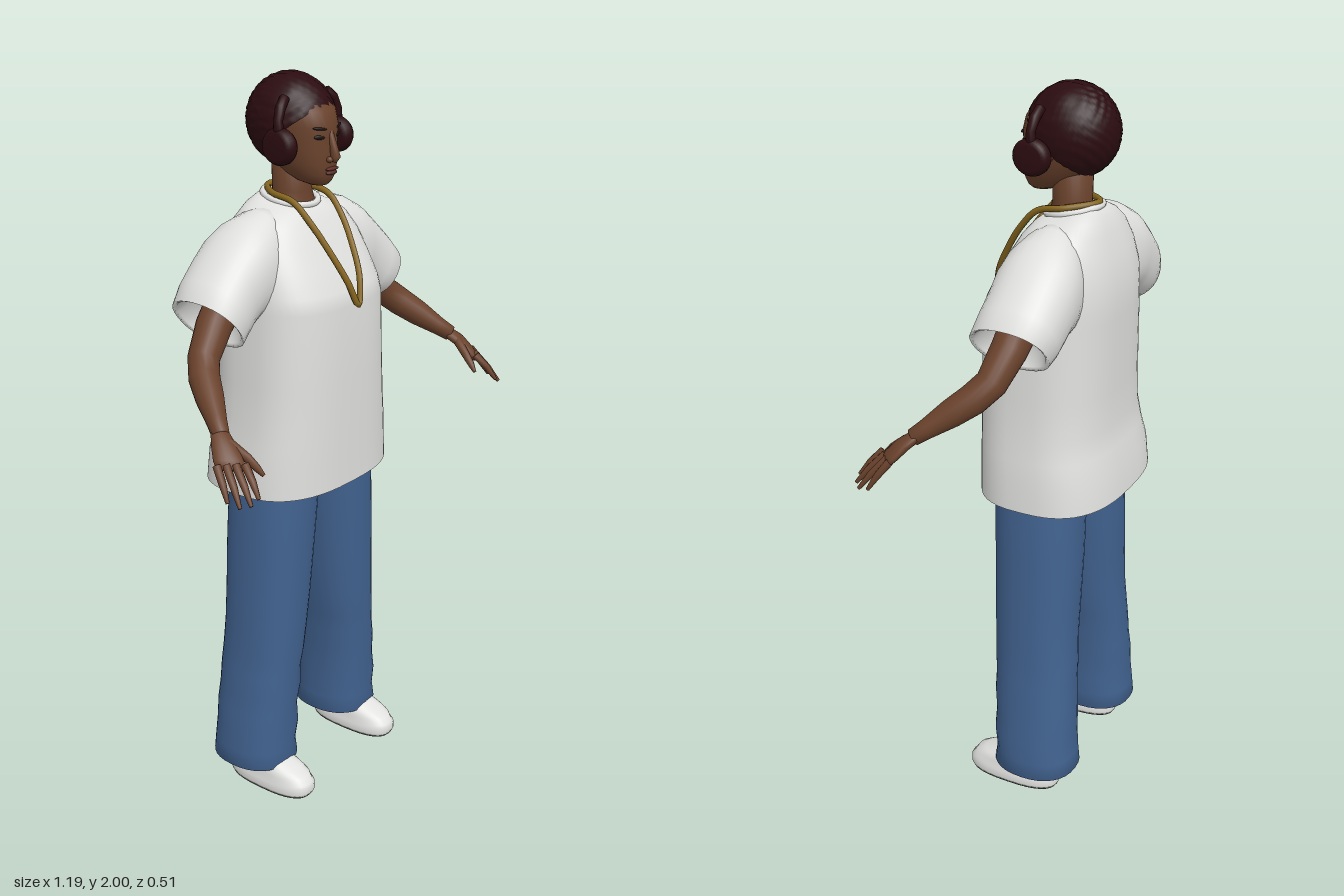
import * as THREE from 'three';

const V = (x, y, z) => new THREE.Vector3(x, y, z);
const paint = (name, color, side = THREE.FrontSide) => {
  const m = new THREE.MeshStandardMaterial({ color, side });
  m.name = name;
  return m;
};

// Skin a list of rings {c, u, v}; power > 2 squares the cross-section.
function loft(rings, { seg = 28, power = 2, caps = [true, true] } = {}) {
  const pos = [], idx = [], last = rings.length - 1;
  const along = rings[last].c.clone().sub(rings[0].c);
  const flip = rings[0].u.clone().cross(rings[0].v).dot(along) < 0 ? -1 : 1;
  const curve = t => Math.sign(t) * Math.pow(Math.abs(t), 2 / power);
  rings.forEach(({ c, u, v }) => {
    for (let j = 0; j < seg; j++) {
      const a = j / seg * Math.PI * 2;
      const p = c.clone().addScaledVector(u, curve(Math.cos(a))).addScaledVector(v, flip * curve(Math.sin(a)));
      pos.push(p.x, p.y, p.z);
    }
  });
  for (let i = 0; i < last; i++) for (let j = 0; j < seg; j++) {
    const a = i * seg + j, b = i * seg + (j + 1) % seg;
    idx.push(a, b, a + seg, b, b + seg, a + seg);
  }
  [0, last].forEach((r, k) => {
    if (!caps[k]) return;
    const n = pos.length / 3, c = rings[r].c;
    pos.push(c.x, c.y, c.z);
    for (let j = 0; j < seg; j++) {
      const a = r * seg + j, b = r * seg + (j + 1) % seg;
      k ? idx.push(n, a, b) : idx.push(n, b, a);
    }
  });
  const g = new THREE.BufferGeometry();
  g.setAttribute('position', new THREE.Float32BufferAttribute(pos, 3));
  g.setIndex(idx);
  g.computeVertexNormals();
  return g;
}

// Level ring from its extents; tilt raises the back edge.
const level = (y, x0, x1, front, back, tilt = 0) => ({
  c: V((x0 + x1) / 2, y, (front + back) / 2),
  u: V((x1 - x0) / 2, 0, 0),
  v: V(0, tilt, (back - front) / 2),
});

// Round limb through points [x, y, z, radius].
function limb(points, seg = 14) {
  const p = points.map(([x, y, z]) => V(x, y, z));
  return loft(points.map((q, i) => {
    const t = p[Math.min(i + 1, p.length - 1)].clone().sub(p[Math.max(i - 1, 0)]).normalize();
    const u = V(0, 0, 1).cross(t).normalize();
    const v = t.clone().cross(u);
    return { c: p[i], u: u.multiplyScalar(q[3]), v: v.multiplyScalar(q[3]) };
  }), { seg });
}

export function createModel() {
  const root = new THREE.Group();
  const skin = paint('brown skin', 0x6a422c);
  const hair = paint('dark red hair', 0x2b0c10, THREE.DoubleSide);
  const cloth = paint('white cotton', 0xe0e0de, THREE.DoubleSide);
  const denim = paint('blue denim', 0x41628f, THREE.DoubleSide);
  const gold = paint('gold', 0x85651f);
  const leather = paint('white leather', 0xe2e2e0);
  const rubber = paint('grey rubber', 0x62625f);
  const dark = paint('dark eye', 0x1c1210);
  const lip = paint('lip', 0x5c3028);
  const add = (name, geo, mat, parent = root) => {
    const m = new THREE.Mesh(geo, mat);
    m.name = name;
    parent.add(m);
    return m;
  };
  const blob = (name, mat, at, size, yaw = 0, roll = 0) => {
    const m = add(name, new THREE.SphereGeometry(1, 18, 12), mat);
    m.position.set(...at);
    m.scale.set(...size);
    m.rotation.set(0, yaw, roll);
    return m;
  };

  // Shirt body: [y, half width, front z, back z, tilt]
  add('shirtBody', loft([
    [0.92, 0.268, 0.138, -0.255], [1.0, 0.262, 0.138, -0.248], [1.06, 0.254, 0.138, -0.232],
    [1.12, 0.245, 0.138, -0.222], [1.22, 0.236, 0.138, -0.222], [1.42, 0.225, 0.137, -0.224],
    [1.46, 0.222, 0.125, -0.224], [1.52, 0.214, 0.093, -0.220], [1.58, 0.198, 0.060, -0.205],
    [1.63, 0.168, 0.032, -0.186, 0.005], [1.66, 0.125, 0.012, -0.170, 0.010],
    [1.678, 0.078, -0.004, -0.150, 0.015], [1.672, 0.066, -0.012, -0.138, 0.013],
  ].map(([y, w, f, b, t]) => level(y, -w, w, f, b, t)), { seg: 48, power: 2.7, caps: [false, false] }), cloth);

  // Folded collar
  const collar = add('collar', new THREE.TorusGeometry(0.073, 0.009, 8, 36), cloth);
  collar.rotation.x = Math.PI / 2 + 0.19;
  collar.position.set(0, 1.68, -0.077);

  // Neck and head: [y, half width, front z, back z]
  add('neck', loft([
    [1.60, 0.085, 0.0, -0.15], [1.66, 0.066, -0.012, -0.135], [1.70, 0.054, -0.02, -0.122],
    [1.80, 0.054, -0.02, -0.125],
  ].map(([y, w, f, b]) => level(y, -w, w, f, b))), skin);
  add('head', loft([
    [1.722, 0.022, 0.040, -0.010], [1.732, 0.040, 0.050, -0.045], [1.752, 0.057, 0.058, -0.085],
    [1.78, 0.070, 0.060, -0.125], [1.815, 0.079, 0.061, -0.155], [1.845, 0.083, 0.058, -0.165],
    [1.872, 0.086, 0.061, -0.170], [1.91, 0.087, 0.050, -0.170], [1.95, 0.076, 0.022, -0.150],
    [1.975, 0.045, -0.02, -0.115],
  ].map(([y, w, f, b]) => level(y, -w, w, f, b)), { seg: 32, power: 2.15 }), skin);

  // Face
  add('noseBridge', limb([[0, 1.862, 0.052, 0.008], [0, 1.825, 0.064, 0.010], [0, 1.796, 0.071, 0.013], [0, 1.786, 0.066, 0.008]]), skin);
  blob('upperLip', lip, [0, 1.766, 0.060], [0.026, 0.005, 0.007]);
  blob('lowerLip', lip, [0, 1.756, 0.058], [0.022, 0.006, 0.008]);
  for (const s of [1, -1]) {
    blob('nostril', skin, [s * 0.013, 1.791, 0.062], [0.009, 0.008, 0.009]);
    blob('eye', dark, [s * 0.036, 1.848, 0.048], [0.017, 0.006, 0.004], s * 0.35, s * 0.08);
    blob('eyebrow', dark, [s * 0.038, 1.870, 0.050], [0.022, 0.004, 0.004], s * 0.35, s * 0.12);
    blob('ear', skin, [s * 0.087, 1.84, -0.045], [0.010, 0.028, 0.018]);
  }

  // Hair cap: open sphere tipped back, with a woven ripple
  const cap = new THREE.SphereGeometry(1, 60, 36, 0, Math.PI * 2, 0, Math.PI * 0.615);
  const cp = cap.attributes.position;
  for (let i = 0; i < cp.count; i++) {
    const p = V(0, 0, 0).fromBufferAttribute(cp, i);
    const k = 1 + 0.018 * Math.sin(p.x * 26) * Math.sin(p.y * 22 + p.z * 22);
    cp.setXYZ(i, p.x * k, p.y * k, p.z * k);
  }
  cap.rotateX(-0.69);
  cap.scale(0.109, 0.121, 0.122);
  cap.translate(0, 1.878, -0.073);
  cap.computeVertexNormals();
  add('hairCap', cap, hair);

  // Side puffs, each hanging from a short twisted strand
  const disc = [[0, -0.021], [0.034, -0.021], [0.045, -0.016], [0.051, -0.006], [0.051, 0.006],
    [0.045, 0.016], [0.034, 0.021], [0, 0.021]].map(([x, y]) => new THREE.Vector2(x, y));
  for (const s of [1, -1]) {
    const puff = add('hairPuff', new THREE.LatheGeometry(disc, 28), hair);
    puff.rotation.z = Math.PI / 2;
    puff.scale.set(0.93, 1, 1);
    puff.position.set(s * 0.117, 1.83, -0.016);
    add('hairStrand', limb([[s * 0.085, 1.945, -0.025, 0.013], [s * 0.108, 1.925, -0.02, 0.014],
      [s * 0.122, 1.895, -0.016, 0.012], [s * 0.121, 1.86, -0.016, 0.014]]), hair);
  }

  // Necklace
  const half = [[0.026, 1.485, 0.132], [0.048, 1.56, 0.092], [0.066, 1.635, 0.040], [0.073, 1.683, -0.010], [0.066, 1.697, -0.085]];
  const chain = [V(0, 1.422, 0.148), ...half.map(p => V(...p)), V(0, 1.703, -0.145),
    ...half.slice().reverse().map(([x, y, z]) => V(-x, y, z))];
  add('necklace', new THREE.TubeGeometry(new THREE.CatmullRomCurve3(chain, true), 120, 0.0085, 8, true), gold);

  // Hips
  add('hips', loft([[0.925, 0.20, 0.06, -0.15], [0.97, 0.225, 0.08, -0.168], [1.12, 0.205, 0.08, -0.165]]
    .map(([y, w, f, b]) => level(y, -w, w, f, b)), { power: 2.5 }), denim);

  for (const s of [1, -1]) {
    const side = s > 0 ? 'left' : 'right';

    // Sleeve: [top x, top y, bottom x, bottom y, centre z, half depth]
    add(side + 'Sleeve', loft([
      [0.05, 1.668, 0.06, 1.36, -0.075, 0.07], [0.14, 1.664, 0.14, 1.37, -0.078, 0.10],
      [0.20, 1.648, 0.195, 1.385, -0.08, 0.112], [0.25, 1.622, 0.22, 1.385, -0.081, 0.112],
      [0.30, 1.582, 0.24, 1.37, -0.081, 0.109], [0.36, 1.527, 0.262, 1.355, -0.077, 0.109],
      [0.40, 1.482, 0.285, 1.340, -0.070, 0.105], [0.390, 1.478, 0.288, 1.352, -0.070, 0.094],
      [0.33, 1.50, 0.26, 1.39, -0.072, 0.075],
    ].map(([tx, ty, bx, by, z, d]) => ({
      c: V(s * (tx + bx) / 2, (ty + by) / 2, z),
      u: V(s * (tx - bx) / 2, (ty - by) / 2, 0),
      v: V(0, 0, d),
    })), { seg: 32, power: 2.2 }), cloth);

    // Arm and hand
    add(side + 'Arm', limb([[0.25, 1.485, -0.07, 0.052], [0.33, 1.405, -0.062, 0.047], [0.39, 1.338, -0.045, 0.041],
      [0.425, 1.302, -0.012, 0.040], [0.455, 1.268, 0.032, 0.036], [0.488, 1.23, 0.082, 0.026],
      [0.508, 1.208, 0.112, 0.022]].map(([x, ...r]) => [s * x, ...r]), 20), skin);
    const across = k => V(s * 0.72 * k, 0.1 * k, -0.69 * k);
    const thick = k => V(s * 0.55 * k, 0.55 * k, 0.6 * k);
    add(side + 'Palm', loft([
      { c: V(s * 0.500, 1.217, 0.100), u: across(0.021), v: thick(0.017) },
      { c: V(s * 0.520, 1.190, 0.133), u: across(0.032), v: thick(0.018) },
      { c: V(s * 0.535, 1.160, 0.160), u: across(0.038), v: thick(0.015) },
      { c: V(s * 0.543, 1.143, 0.173), u: across(0.035), v: thick(0.011) },
    ], { seg: 18 }), skin);
    [[0.588, 1.080, 0.200], [0.580, 1.072, 0.232], [0.561, 1.076, 0.251], [0.538, 1.088, 0.255]].forEach(([x, y, z], i) => {
      const kx = 0.565 - 0.016 * i, kz = 0.148 + 0.016 * i;
      add(side + 'Finger', limb([[s * kx, 1.156, kz, 0.011], [s * (kx * 0.45 + x * 0.55), 1.156 * 0.45 + y * 0.55 + 0.004, kz * 0.45 + z * 0.55, 0.0095],
        [s * x, y, z, 0.005]], 8), skin);
    });
    add(side + 'Thumb', limb([[s * 0.508, 1.195, 0.135, 0.014], [s * 0.490, 1.160, 0.180, 0.012],
      [s * 0.483, 1.138, 0.203, 0.010], [s * 0.477, 1.120, 0.220, 0.005]], 8), skin);

    // Trouser leg: [y, inner x, outer x, front z, back z]
    add(side + 'TrouserLeg', loft([
      [1.0, 0.0, 0.222, 0.080, -0.165], [0.92, 0.007, 0.234, 0.080, -0.166], [0.75, 0.025, 0.244, 0.076, -0.168],
      [0.60, 0.042, 0.252, 0.072, -0.166], [0.50, 0.054, 0.259, 0.068, -0.165], [0.42, 0.068, 0.262, 0.066, -0.170],
      [0.36, 0.078, 0.270, 0.060, -0.172], [0.30, 0.080, 0.276, 0.062, -0.174], [0.24, 0.088, 0.282, 0.055, -0.179],
      [0.18, 0.084, 0.291, 0.058, -0.178], [0.12, 0.088, 0.294, 0.050, -0.183], [0.072, 0.084, 0.299, 0.056, -0.187],
      [0.085, 0.098, 0.285, 0.044, -0.172],
    ].map(([y, a, b, f, k]) => level(y, s * a, s * b, f, k)), { seg: 32, power: 2.3 }), denim);

    // Shoe with a flat sole plate
    const shoeRing = (y, w, f, b) => level(y, s * 0.198 - w, s * 0.198 + w, f, b);
    add(side + 'Shoe', loft([shoeRing(0.004, 0.060, 0.140, -0.134), shoeRing(0.012, 0.063, 0.144, -0.137),
      shoeRing(0.032, 0.062, 0.143, -0.137), shoeRing(0.036, 0.058, 0.137, -0.133), shoeRing(0.055, 0.057, 0.126, -0.132),
      shoeRing(0.070, 0.053, 0.098, -0.130), shoeRing(0.085, 0.049, 0.055, -0.128), shoeRing(0.105, 0.045, 0.015, -0.125)],
    { seg: 32, power: 2.6 }), leather);
    add(side + 'Sole', loft([shoeRing(0, 0.059, 0.138, -0.132), shoeRing(0.005, 0.060, 0.140, -0.134)], { seg: 32, power: 2.6 }), rubber);
  }
  return root;
}
